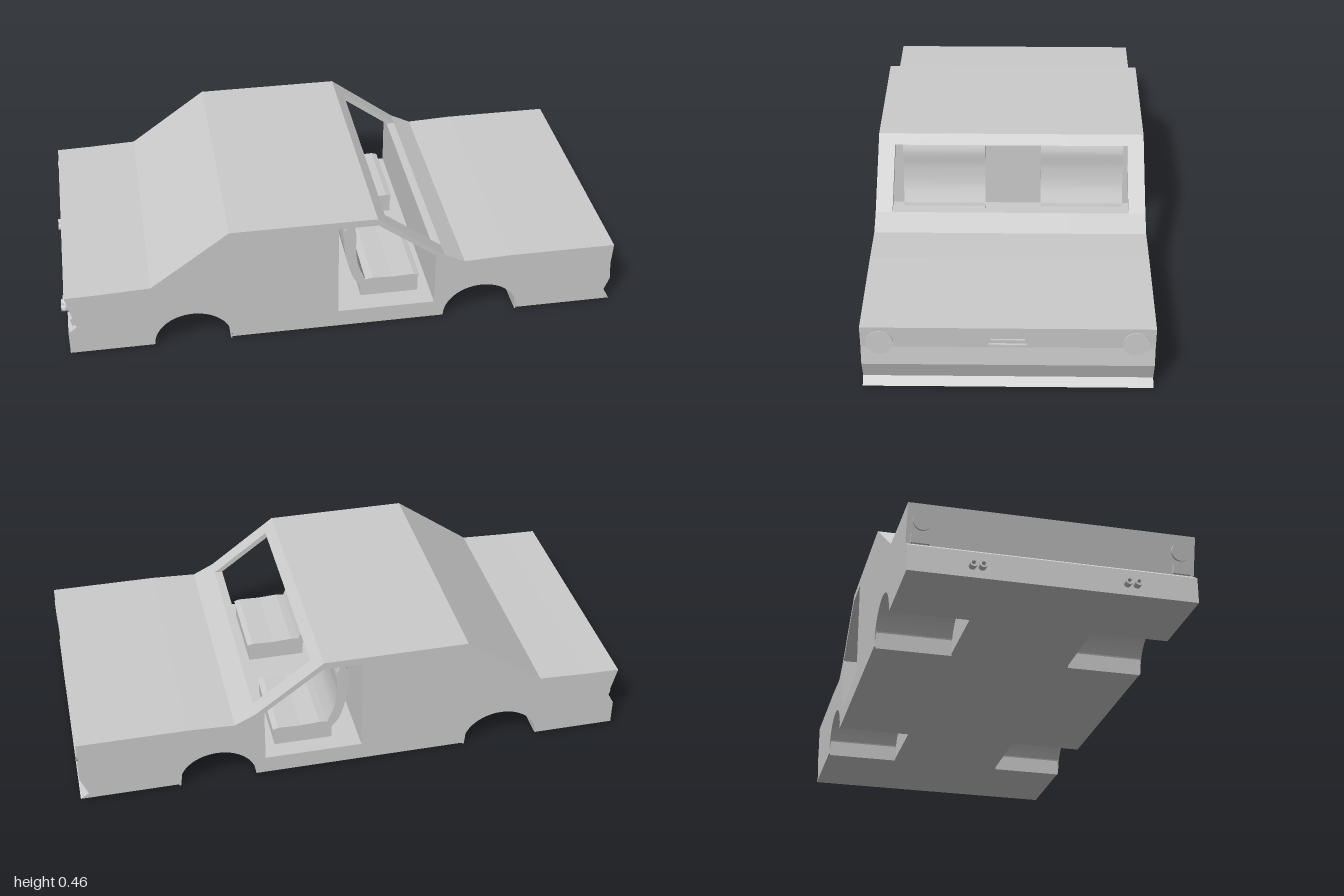
import * as THREE from 'three';

const grey = new THREE.MeshStandardMaterial({ color: 0xcccccc, flatShading: true });
const BOTTOM = 0.01, HALF = 0.48, INNER = 0.42, WELL = 0.21;

const NOSE = [[0.99, BOTTOM], [0.96, 0.03], [0.987, 0.1], [0.982, 0.17], [0.987, 0.25], [0.6, 0.25], [0.435, 0.243], [0.36, 0.28]];
const TAIL = [[0.117, 0.462], [-0.4, 0.462], [-0.68, 0.26], [-0.85, 0.253], [-0.978, 0.25], [-0.945, 0.12], [-0.975, 0.1], [-0.975, BOTTOM]];
const DOOR = [[-0.02, 0.435], [-0.02, 0.075], [0.33, 0.075], [0.33, 0.28], [0.12, 0.435]];
// Outline of the cabin where the windscreen is open
const CABIN = [[0.33, 0.28], [0.33, 0.075], [-0.02, 0.075], [-0.02, 0.435], [0.153, 0.435]];
const ARCHES = [-0.54, 0.503];

const points = (list) => list.map(([x, y]) => new THREE.Vector2(x, y));

function addMesh(parent, name, geometry, x = 0, y = 0, z = 0) {
  const mesh = new THREE.Mesh(geometry, grey);
  mesh.name = name;
  mesh.position.set(x, y, z);
  parent.add(mesh);
  return mesh;
}

// Side profile of the body, with or without wheel arches and windscreen opening
function bodyShape(arches, open) {
  const s = new THREE.Shape();
  s.moveTo(-0.975, BOTTOM);
  if (arches) {
    for (const cx of ARCHES) {
      s.lineTo(cx - 0.138, BOTTOM);
      s.absellipse(cx, BOTTOM, 0.138, 0.12, Math.PI, 0, true);
    }
  }
  const outline = [...NOSE, ...(open ? CABIN : []), ...TAIL.slice(0, -1)];
  for (const [x, y] of outline) s.lineTo(x, y);
  s.closePath();
  if (!open) s.holes.push(new THREE.Path(points(DOOR)));
  return s;
}

function slab(shape, z0, z1) {
  const g = new THREE.ExtrudeGeometry(shape, { depth: z1 - z0, bevelEnabled: false, curveSegments: 14 });
  return g.translate(0, 0, z0);
}

function makeSeat() {
  const seat = new THREE.Group();
  const width = 0.305;
  const back = new THREE.Shape();
  back.moveTo(0.03, 0.388);
  back.splineThru(points([[0.015, 0.36], [0.014, 0.297], [0.026, 0.227], [0.048, 0.158], [0.08, 0.115]]));
  back.lineTo(0.092, 0.145);
  back.splineThru(points([[0.066, 0.21], [0.056, 0.28], [0.057, 0.345], [0.045, 0.385]]));
  back.closePath();
  addMesh(seat, 'seatBack', slab(back, -width / 2, width / 2));

  const cushion = new THREE.Shape(points([[0.075, 0.075], [0.285, 0.075], [0.285, 0.138], [0.29, 0.143], [0.27, 0.149], [0.19, 0.146], [0.12, 0.15], [0.075, 0.143]]));
  addMesh(seat, 'seatCushion', slab(cushion, -width / 2, width / 2));
  return seat;
}

export function createModel() {
  const car = new THREE.Group();
  car.name = 'car';

  // Body in slabs across the width: core, wheel wells, outer sides
  const body = new THREE.Group();
  body.name = 'body';
  car.add(body);
  addMesh(body, 'bodyCore', slab(bodyShape(false, true), -WELL, WELL));
  for (const s of [-1, 1]) {
    const span = (a, b) => (s > 0 ? [a, b] : [-b, -a]);
    addMesh(body, 'wheelWellSection', slab(bodyShape(true, true), ...span(WELL, INNER)));
    addMesh(body, 'bodySide', slab(bodyShape(true, false), ...span(INNER, HALF)));
  }

  for (const s of [-1, 1]) {
    const seat = makeSeat();
    seat.name = s > 0 ? 'rightSeat' : 'leftSeat';
    seat.position.z = s > 0 ? 0.25 : -0.262;
    car.add(seat);

    // Headlights
    const lamp = addMesh(car, 'headlight', new THREE.CylinderGeometry(0.045, 0.045, 0.014, 28), 0.982, 0.19, s * 0.417);
    lamp.rotation.z = -Math.PI / 2;

    // Tail lamps lie on the sloping rear panel
    const tail = addMesh(car, 'tailLamp', new THREE.CylinderGeometry(0.032, 0.032, 0.016, 24), -0.967, 0.195, s * 0.43);
    tail.rotation.z = Math.PI / 2 + 0.25;
    const reflector = addMesh(car, 'rearReflector', new THREE.BoxGeometry(0.02, 0.03, 0.06), -0.953, 0.135, s * 0.435);
    reflector.rotation.z = 0.25;

    // Twin exhaust pipes
    for (const dz of [-0.016, 0.016]) {
      const profile = [[0.007, -0.02], [0.013, -0.02], [0.013, 0.02], [0.007, 0.02], [0.007, -0.02]];
      const pipe = addMesh(car, 'exhaustPipe', new THREE.LatheGeometry(points(profile), 16), -0.98, 0.05, s * 0.255 + dz);
      pipe.rotation.z = Math.PI / 2;
    }

    // Thin splash guards at the front end of each wheel well
    for (const cx of ARCHES) {
      const guard = addMesh(car, 'splashGuard', new THREE.BoxGeometry(0.006, 0.125, 0.265), cx + 0.129, 0.063, s * 0.343);
      guard.rotation.z = 0.1;
    }
  }

  // Slim grille bars at the centre of the nose
  addMesh(car, 'grilleBar', new THREE.BoxGeometry(0.012, 0.006, 0.125), 0.985, 0.184, 0);
  addMesh(car, 'grilleBar', new THREE.BoxGeometry(0.012, 0.004, 0.11), 0.985, 0.204, 0);

  return car;
}
